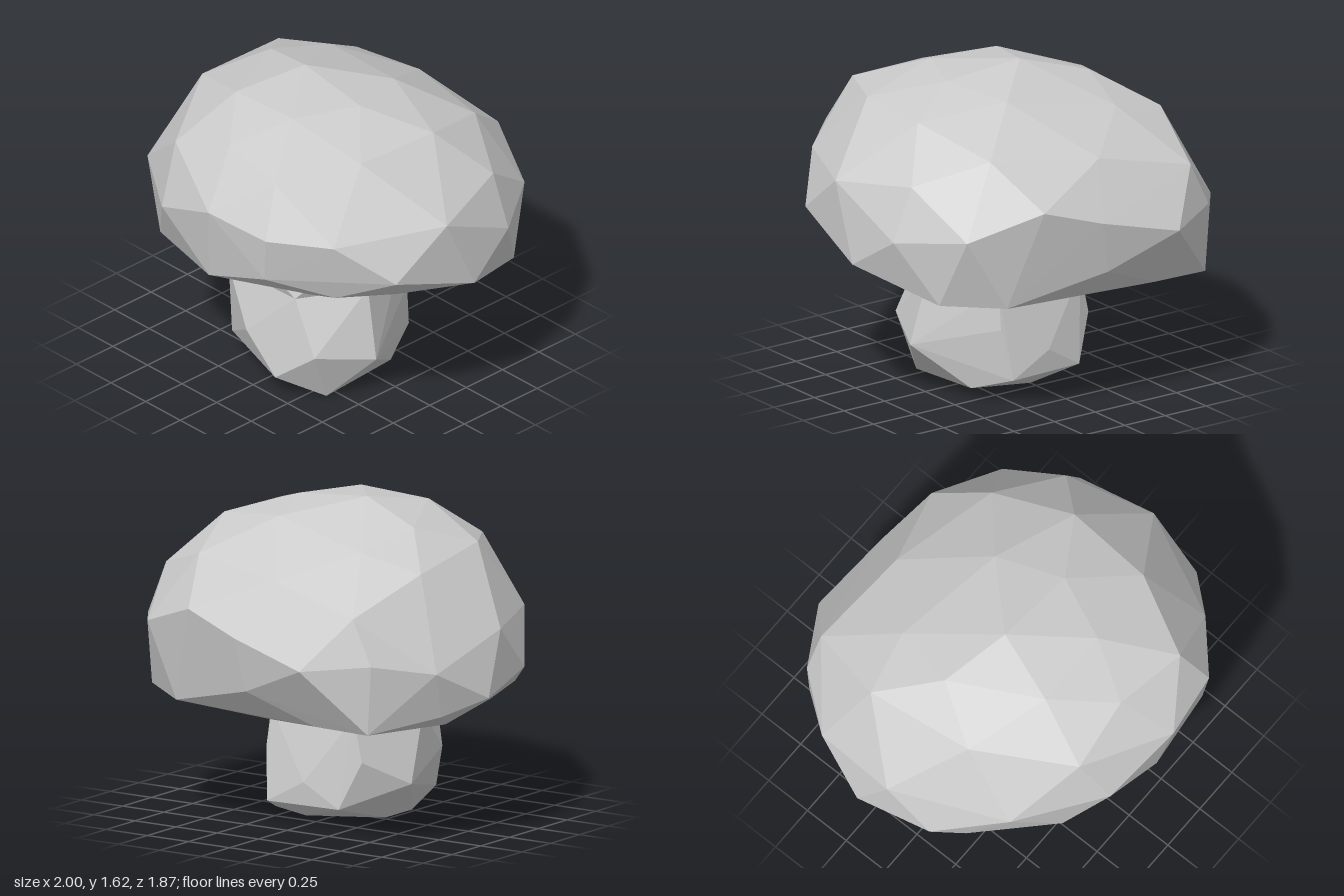
import * as THREE from 'three';
import { ConvexGeometry } from 'three/addons/geometries/ConvexGeometry.js';

const material = new THREE.MeshStandardMaterial({
  color: 0xcccccc, flatShading: true, side: THREE.DoubleSide,
});

// Facet corners of the lopsided cap: x, y, z
const CAP = [
  // crown
  -0.11, 1.62, 0.04, 0.32, 1.58, 0.07, 0.18, 1.58, 0.40, -0.23, 1.56, 0.40,
  -0.46, 1.52, -0.06, 0.20, 1.54, -0.28, -0.38, 1.44, -0.40,
  // shoulder
  0.02, 1.47, 0.68, 0.41, 1.44, 0.74, 0.61, 1.48, 0.34, 0.64, 1.48, -0.13,
  0.50, 1.36, -0.55, -0.06, 1.31, -0.70, -0.58, 1.19, -0.76, -0.70, 1.36, -0.34,
  -0.64, 1.42, 0.24, -0.34, 1.35, 0.71, 0.84, 1.24, -0.35,
  // widest belt
  0.13, 1.23, 0.93, 0.48, 1.19, 0.87, 0.73, 1.16, 0.64, 0.98, 1.18, 0.10,
  0.94, 0.95, 0.41, 0.95, 0.97, -0.35, 0.73, 1.01, -0.67, 0.37, 1.14, -0.83,
  0.05, 1.04, -0.89, -0.38, 0.93, -0.94, -0.69, 0.96, -0.76, -0.90, 0.90, -0.49,
  -0.96, 1.06, -0.02, -0.70, 1.05, 0.56, -0.28, 1.06, 0.86,
  // lower edge
  0.07, 0.82, 0.87, 0.45, 0.95, 0.85, 0.69, 0.84, 0.59, 1.00, 0.79, -0.07,
  0.80, 0.66, -0.53, 0.52, 0.64, -0.72, 0.09, 0.63, -0.74, 0.00, 0.77, -0.86,
  -0.35, 0.62, -0.77, -0.67, 0.61, -0.76, -0.88, 0.67, -0.42, -0.82, 0.605, -0.30,
  -1.00, 0.74, -0.18, -0.93, 0.82, 0.23, -0.79, 0.71, 0.35, -0.46, 0.77, 0.70,
];

// Facet corners of the stem: x, y, z
const STEM = [
  // sole
  0.33, 0.00, 0.31, -0.28, 0.02, 0.18, -0.28, 0.02, -0.05, 0.32, 0.02, -0.14, 0.05, 0.03, -0.27,
  // foot
  -0.31, 0.12, 0.35, 0.17, 0.12, 0.51, 0.22, 0.10, -0.36, -0.20, 0.10, -0.34,
  -0.44, 0.21, -0.05, 0.50, 0.21, 0.13, 0.00, 0.22, -0.36,
  // middle
  0.37, 0.28, 0.43, -0.06, 0.29, 0.49, -0.39, 0.34, 0.29, 0.26, 0.36, -0.31, -0.30, 0.34, -0.28,
];

// Six corners around the top of the stem, going round from the front
const WAIST = [
  0.22, 0.56, 0.42, 0.41, 0.57, 0.10, 0.25, 0.56, -0.28,
  -0.25, 0.56, -0.28, -0.42, 0.56, 0.08, -0.27, 0.54, 0.41,
];

// Sloping plane in which the lip of the cap lies
const lipY = (x, z) => 0.66 + 0.045 * x + 0.08 * z;

const toVectors = (list) => Array.from({ length: list.length / 3 },
  (_, i) => new THREE.Vector3().fromArray(list, i * 3));

function facets(points) {
  const geometry = new THREE.BufferGeometry().setFromPoints(points);
  geometry.computeVertexNormals();
  return geometry;
}

// Ellipse of n points, raised by a given height above the lip plane
function ring(n, cx, cz, rx, rz, rise, shift = 0) {
  return Array.from({ length: n }, (_, j) => {
    const a = ((j + shift) / n) * Math.PI * 2;
    const x = cx + rx * Math.sin(a), z = cz + rz * Math.cos(a);
    return new THREE.Vector3(x, lipY(x, z) + rise, z);
  });
}

// Triangulated skin between rings; odd rings are shifted by half a step
function loft(rings) {
  const pts = [], n = rings[0].length;
  for (let i = 0; i < rings.length - 1; i++) {
    const p = rings[i], q = rings[i + 1];
    for (let j = 0; j < n; j++) {
      const k = (j + 1) % n;
      if (i % 2 === 0) pts.push(p[j], p[k], q[j], p[k], q[k], q[j]);
      else pts.push(p[j], p[k], q[k], p[j], q[k], q[j]);
    }
  }
  return facets(pts);
}

// Convex shell with the flat face across the lip left open
function capShell(lip) {
  const pos = new ConvexGeometry([...lip, ...toVectors(CAP)]).attributes.position;
  const kept = [];
  for (let i = 0; i < pos.count; i += 3) {
    const tri = [0, 1, 2].map((k) => new THREE.Vector3().fromBufferAttribute(pos, i + k));
    if (!tri.every((v) => Math.abs(v.y - lipY(v.x, v.z)) < 1e-3)) kept.push(...tri);
  }
  return facets(kept);
}

export function createModel() {
  const model = new THREE.Group();
  model.name = 'mushroom';
  const add = (name, geometry) => {
    const mesh = new THREE.Mesh(geometry, material);
    mesh.name = name;
    model.add(mesh);
  };

  // Cap and its shallow, grooved underside
  const n = 10;
  const lip = ring(n, -0.02, -0.02, 0.77, 0.67, 0);
  add('cap', capShell(lip));
  add('capUnderside', loft([
    ring(n, 0, 0.03, 0.36, 0.34, 0.03),
    ring(n, 0, 0, 0.61, 0.54, 0.09, 0.5),
    lip,
  ]));

  // Stem with a flared top that runs into the cap
  const waist = toVectors(WAIST);
  add('stem', new ConvexGeometry([...toVectors(STEM), ...waist]));
  add('stemTop', loft([waist, ring(6, 0, 0.02, 0.47, 0.46, 0.06, 0.9)]));

  return model;
}
